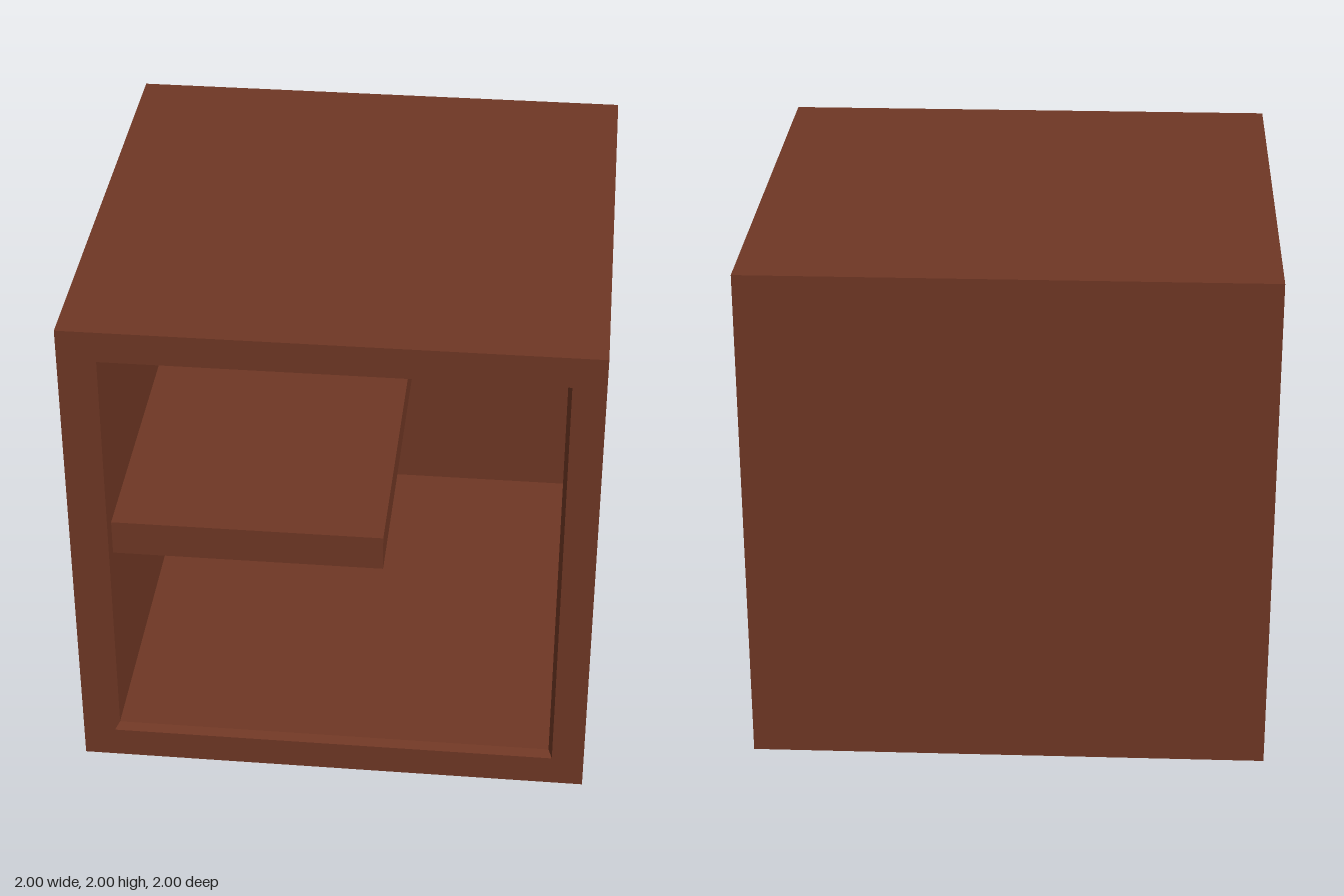
import * as THREE from 'three';

export function createModel() {
  const group = new THREE.Group();
  const wood = new THREE.MeshStandardMaterial({ color: 0x6f3724 });
  wood.name = 'brown wood';

  // Open-fronted cabinet: a four-sided lathe of [half width, z] with a chamfered opening
  const profile = [
    [0, -1], [1, -1], [1, 1], [0.875, 1], [0.86, 0.965], [0.86, -0.87], [0, -0.87],
  ].map(([half, z]) => new THREE.Vector2(half * Math.SQRT2, z));
  const shell = new THREE.LatheGeometry(profile, 4, Math.PI / 4).toNonIndexed();
  shell.rotateX(Math.PI / 2);
  shell.computeVertexNormals();
  const cabinet = new THREE.Mesh(shell, wood);
  cabinet.name = 'cabinet';
  cabinet.position.y = 1;
  group.add(cabinet);

  // Half-width shelf fixed to the right wall and the back
  const shelfMin = new THREE.Vector3(-0.86, 0.93, -0.87);
  const shelfMax = new THREE.Vector3(0.19, 1.075, 0.89);
  const size = shelfMax.clone().sub(shelfMin);
  const shelf = new THREE.Mesh(new THREE.BoxGeometry(size.x, size.y, size.z), wood);
  shelf.name = 'shelf';
  shelf.position.copy(shelfMin).add(shelfMax).multiplyScalar(0.5);
  group.add(shelf);

  return group;
}
